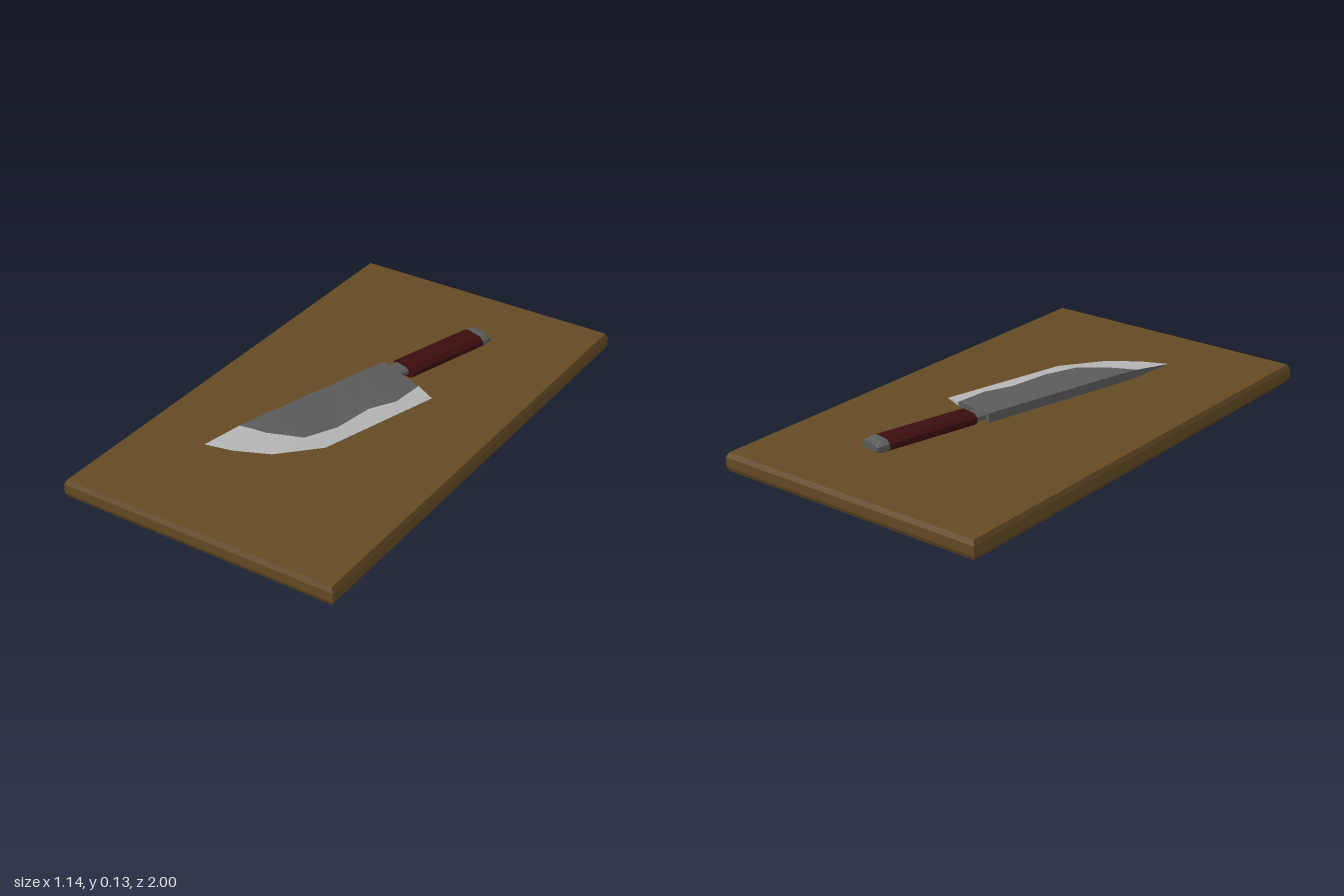
import * as THREE from 'three';

function material(color) {
  return new THREE.MeshStandardMaterial({ color, flatShading: true });
}

function addMesh(parent, name, geometry, mat) {
  const mesh = new THREE.Mesh(geometry, mat);
  mesh.name = name;
  parent.add(mesh);
  return mesh;
}

// Flat-sided geometry from a list of polygons (arrays of Vector3)
function polygons(list) {
  const points = [];
  for (const p of list) {
    for (let i = 1; i < p.length - 1; i++) points.push(p[0], p[i], p[i + 1]);
  }
  const geometry = new THREE.BufferGeometry().setFromPoints(points);
  geometry.computeVertexNormals();
  return geometry;
}

// Bar with chamfered corners, running from z0 to z1
function bar(width, height, cx, cy, z0, z1, steps = 1) {
  const w = width / 2, h = height / 2;
  const shape = new THREE.Shape([
    [w - cx, -h], [w, -h + cy], [w, h - cy], [w - cx, h],
    [-w + cx, h], [-w, h - cy], [-w, -h + cy], [-w + cx, -h],
  ].map(([x, y]) => new THREE.Vector2(x, y)));
  return new THREE.ExtrudeGeometry(shape, { depth: z1 - z0, steps, bevelEnabled: false })
    .translate(0, 0, z0);
}

// Cutting board with chamfered rims
function createBoard() {
  const w = 0.563, l = 0.991;
  const shape = new THREE.Shape([[-w, -l], [w, -l], [w, l], [-w, l]]
    .map(([x, y]) => new THREE.Vector2(x, y)));
  return new THREE.ExtrudeGeometry(shape, {
    depth: 0.037, bevelThickness: 0.018, bevelSize: 0.009, bevelSegments: 1,
  }).rotateX(-Math.PI / 2).translate(0, 0.018, 0);
}

// Blade: spine on x = 0, edge toward +x, tip toward +z
function addBlade(knife, steel, bright) {
  // Stations: spine z, bevel x z, edge x z, spine half thickness, bevel half thickness
  const stations = [
    [0, 0.2, 0.002, 0.283, 0.01, 0.018, 0.009],
    [0.14, 0.225, 0.14, 0.283, 0.14, 0.018, 0.008],
    [0.257, 0.2, 0.257, 0.283, 0.257, 0.018, 0.009],
    [0.427, 0.22, 0.427, 0.283, 0.41, 0.018, 0.008],
    [0.568, 0.197, 0.568, 0.283, 0.54, 0.018, 0.009],
    [0.66, 0.092, 0.66, 0.197, 0.719, 0.017, 0.012],
    [0.69, 0.045, 0.685, 0.093, 0.815, 0.016, 0.014],
    [0.71, 0, 0.71, 0, 0.871, 0.015, 0.015],
  ].map(([sz, bx, bz, ex, ez, st, bt]) => ({
    spine: [1, -1].map((s) => new THREE.Vector3(0, s * st, sz)),
    bevel: [1, -1].map((s) => new THREE.Vector3(bx, s * bt, bz)),
    edge: new THREE.Vector3(ex, 0, ez),
  }));
  const body = [], rim = [];
  for (let i = 0; i < stations.length - 1; i++) {
    const a = stations[i], b = stations[i + 1];
    for (const s of [0, 1]) {
      const flat = [a.spine[s], b.spine[s], b.bevel[s], a.bevel[s]];
      const slope = [a.bevel[s], b.bevel[s], b.edge, a.edge];
      body.push(s ? flat.reverse() : flat);
      rim.push(s ? slope.reverse() : slope);
    }
    body.push([a.spine[0], a.spine[1], b.spine[1], b.spine[0]]);
  }
  // Heel faces and the spine's taper to the tip
  const heel = stations[0], last = stations[stations.length - 1];
  body.push([heel.spine[0], heel.bevel[0], heel.bevel[1], heel.spine[1]]);
  rim.push([heel.bevel[0], heel.edge, heel.bevel[1]]);
  body.push([last.spine[0], last.spine[1], last.edge]);
  addMesh(knife, 'bladeBody', polygons(body), steel);
  addMesh(knife, 'cuttingEdge', polygons(rim), bright);
}

function createKnife() {
  const knife = new THREE.Group();
  knife.name = 'knife';
  const steel = material(0x5a5a5a);
  addBlade(knife, steel, material(0xb4b4b4));

  // Tang, grip and end cap share one axis
  const handle = new THREE.Group();
  handle.name = 'handle';
  handle.position.x = 0.065;
  knife.add(handle);
  addMesh(handle, 'tang', bar(0.076, 0.028, 0.012, 0.007, -0.06, 0.002), steel).position.x = -0.008;
  addMesh(handle, 'grip', bar(0.11, 0.046, 0.02, 0.013, -0.425, -0.045), material(0x3c0e10));
  const cap = bar(0.11, 0.046, 0.02, 0.013, -0.475, -0.425, 2);
  const p = cap.attributes.position;
  for (let i = 0; i < p.count; i++) {
    if (p.getZ(i) < -0.47) p.setXY(i, p.getX(i) * 0.9, p.getY(i) * 0.6);
  }
  cap.computeVertexNormals();
  addMesh(handle, 'endCap', cap, steel);

  // Lies slightly tilted on the board
  knife.position.set(-0.02, 0.107, -0.24);
  knife.rotation.set(-0.015, -0.267, -0.05, 'YXZ');
  return knife;
}

export function createModel() {
  const model = new THREE.Group();
  model.name = 'knifeOnBoard';
  addMesh(model, 'cuttingBoard', createBoard(), material(0x644a24));
  model.add(createKnife());
  return model;
}
